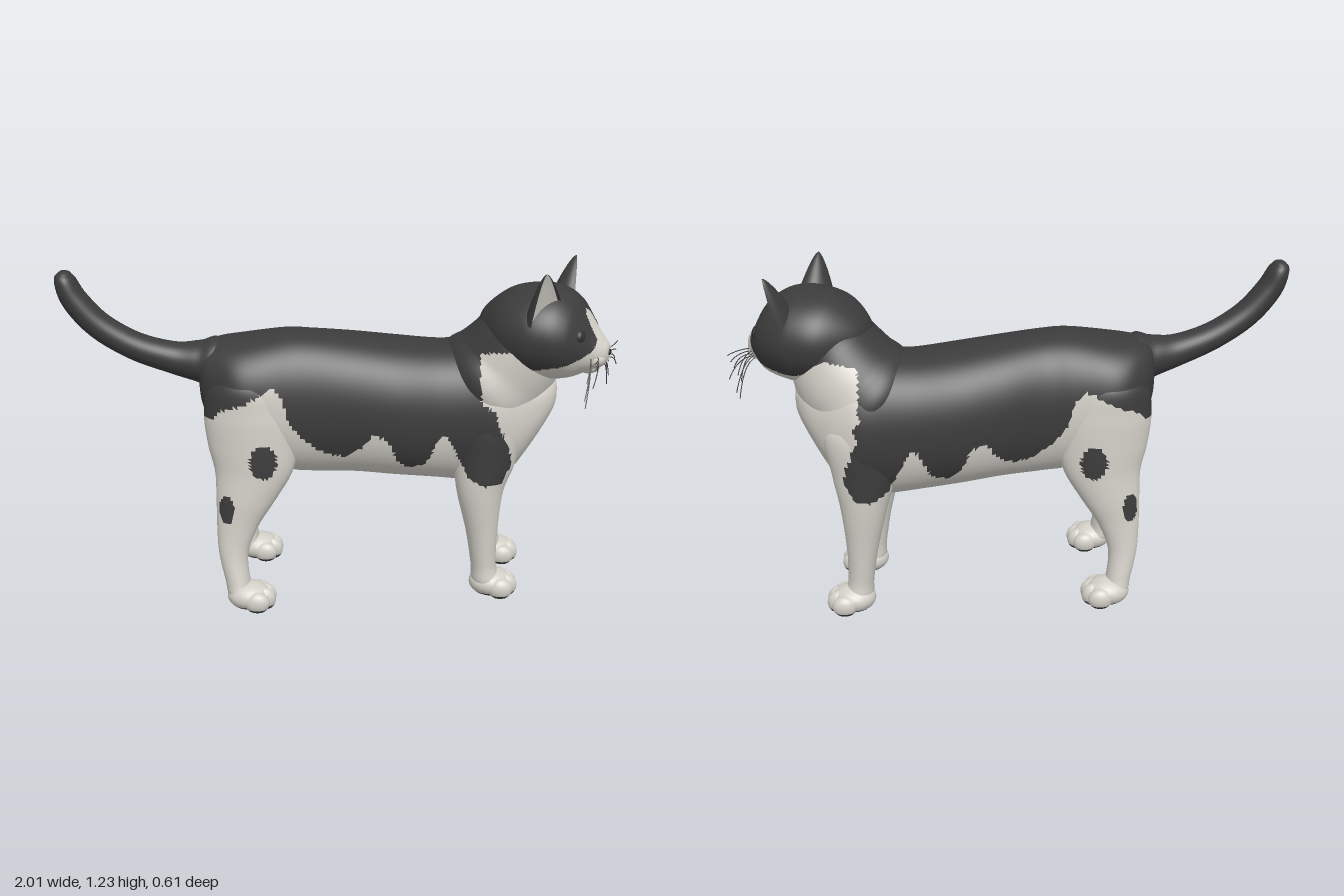
import * as THREE from 'three';
import { mergeGeometries } from 'three/addons/utils/BufferGeometryUtils.js';

const mat = (name, color) => {
  const m = new THREE.MeshStandardMaterial({ color });
  m.name = name;
  return m;
};
const white = mat('white fur', 0xd2cfc7);
const black = mat('black fur', 0x3b3b3b);
const eyeDark = mat('dark eye', 0x303030);
const whiskerGrey = mat('whisker grey', 0x4a4845);

// Smooth skin over rounded sections [x, y, z, radiusA, radiusB]; dir fixes the section plane, power < 1 squares them
function loft(rows, dir, steps, sides, power = 1) {
  const centres = new THREE.CatmullRomCurve3(rows.map(r => new THREE.Vector3(r[0], r[1], r[2])), false, 'catmullrom');
  const radii = new THREE.CatmullRomCurve3(rows.map(r => new THREE.Vector3(r[3], r[4], 0)), false, 'catmullrom');
  const round = v => Math.sign(v) * Math.abs(v) ** power;
  const b = new THREE.Vector3(0, 0, 1), pos = [], idx = [];
  for (let i = 0; i <= steps; i++) {
    const c = centres.getPoint(i / steps), r = radii.getPoint(i / steps);
    const t = dir ? new THREE.Vector3(...dir) : centres.getTangent(i / steps);
    const a = b.clone().cross(t).normalize();
    for (let j = 0; j < sides; j++) {
      const th = j / sides * Math.PI * 2;
      const p = c.clone().addScaledVector(a, round(Math.cos(th)) * Math.max(r.x, 0))
        .addScaledVector(b, round(Math.sin(th)) * Math.max(r.y, 0));
      pos.push(p.x, p.y, p.z);
      if (i < steps) {
        const k = i * sides + j, l = i * sides + (j + 1) % sides;
        idx.push(k, l, k + sides, l, l + sides, k + sides);
      }
    }
  }
  const g = new THREE.BufferGeometry();
  g.setAttribute('position', new THREE.Float32BufferAttribute(pos, 3));
  g.setIndex(idx);
  g.computeVertexNormals();
  return g;
}

// Sort the triangles into white and black groups by a rule on their centres
function paint(name, g, isBlack) {
  const p = g.attributes.position, ix = g.index.array, sets = [[], []];
  for (let i = 0; i < ix.length; i += 3) {
    const t = [ix[i], ix[i + 1], ix[i + 2]];
    const mid = f => (p[f](t[0]) + p[f](t[1]) + p[f](t[2])) / 3;
    sets[isBlack(mid('getX'), mid('getY'), mid('getZ')) ? 1 : 0].push(...t);
  }
  g.setIndex([...sets[0], ...sets[1]]);
  g.clearGroups();
  g.addGroup(0, sets[0].length, 0);
  g.addGroup(sets[0].length, sets[1].length, 1);
  const m = new THREE.Mesh(g, [white, black]);
  m.name = name;
  return m;
}

function blob(x, y, z, rx, ry, rz) {
  return new THREE.SphereGeometry(1, 24, 16).scale(rx, ry, rz).translate(x, y, z);
}

// Saddle patch outline seen from the side
const saddle = [
  [-0.6, 0.7], [-0.45, 0.71], [-0.42, 0.74], [-0.35, 0.76], [-0.24, 0.82], [-0.2, 0.78], [-0.18, 0.7], [-0.13, 0.63],
  [-0.05, 0.57], [0.02, 0.56], [0.08, 0.6], [0.12, 0.65], [0.17, 0.63], [0.2, 0.55], [0.25, 0.51], [0.31, 0.53],
  [0.35, 0.63], [0.38, 0.64], [0.42, 0.56], [0.46, 0.48], [0.52, 0.45], [0.58, 0.46], [0.615, 0.53], [0.6, 0.6],
  [0.56, 0.68], [0.55, 0.73], [0.5, 0.76], [0.49, 0.83], [0.49, 0.93], [0.6, 0.95], [0.68, 0.91], [0.76, 0.88],
  [0.8, 0.9], [0.8, 1.4], [-0.6, 1.4]];
function inSaddle(x, y) {
  let inside = false;
  saddle.forEach(([x1, y1], i) => {
    const [x2, y2] = saddle[(i + 1) % saddle.length];
    if ((y1 > y) !== (y2 > y) && x < x1 + (y - y1) / (y2 - y1) * (x2 - x1)) inside = !inside;
  });
  return inside;
}
const inSpot = (x, y, cx, cy, rx, ry) => ((x - cx) / rx) ** 2 + ((y - cy) / ry) ** 2 < 1;
function coat(x, y, z) {
  if (y < 0.014) return true; // soles
  if (Math.abs(z) > 0.14 && inSpot(x, y, -0.27, 0.555, 0.047, 0.063)) return true;
  if (Math.abs(z) > 0.17 && inSpot(x, y, -0.405, 0.375, 0.028, 0.052)) return true;
  if (x > 0.4 && y < 0.62 && Math.abs(z + 0.05) < 0.13) return false;
  // the black reaches further forward on the right of the neck
  const shift = z < 0 && x > 0.4 ? 0.06 * THREE.MathUtils.smoothstep(y, 0.68, 0.8) : 0;
  return inSaddle(x - shift, y);
}

// Face mask: white blaze, muzzle and jaw
const blaze = [[-0.2, 0.2], [-0.1, 0.16], [-0.07, 0.12], [-0.04, 0.08], [0, 0.045], [0.05, 0.038], [0.08, 0.028], [0.095, 0]];
function mask(u, v, w) {
  if (v < -0.105 + 0.3 * Math.max(0, -u)) return false;
  if (u < 0.05 || v > 0.095) return true;
  const i = Math.max(1, blaze.findIndex(b => b[0] >= v));
  const [v0, h0] = blaze[i - 1], [v1, h1] = blaze[i];
  return Math.abs(w) > h0 + (h1 - h0) * (v - v0) / (v1 - v0);
}

function paw(name, x, z) {
  const parts = [blob(x, 0.045, z, 0.08, 0.052, 0.072)];
  for (let i = 0; i < 4; i++) {
    const o = i - 1.5, inner = Math.abs(o) < 1;
    parts.push(blob(x + (inner ? 0.052 : 0.032), 0.036, z + o * 0.036, 0.045, inner ? 0.045 : 0.04, 0.028));
  }
  const g = mergeGeometries(parts), p = g.attributes.position;
  for (let i = 0; i < p.count; i++) p.setY(i, Math.max(0, p.getY(i))); // flat sole
  return paint(name, g, coat);
}

function makeHead() {
  const head = new THREE.Group();
  head.name = 'head';
  head.position.set(0.7, 0.99, 0.01);
  head.rotation.y = -0.42;
  head.add(paint('skull', loft([
    [-0.21, 0, 0, 0, 0], [-0.19, 0, 0, 0.07, 0.08], [-0.1, 0, 0, 0.145, 0.175], [0, 0, 0, 0.17, 0.207],
    [0.08, 0, 0, 0.165, 0.197], [0.14, -0.01, 0, 0.143, 0.167], [0.18, -0.025, 0, 0.11, 0.125],
    [0.215, -0.045, 0, 0.076, 0.085], [0.245, -0.055, 0, 0.05, 0.056], [0.262, -0.055, 0, 0.028, 0.03],
    [0.266, -0.055, 0, 0, 0]], [1, 0, 0], 110, 104), mask));
  const add = (name, g, m) => {
    const mesh = new THREE.Mesh(g, m);
    mesh.name = name;
    head.add(mesh);
  };
  add('chin', blob(0.195, -0.105, 0, 0.042, 0.032, 0.05), white);
  add('nose', blob(0.264, -0.053, 0, 0.008, 0.011, 0.016), eyeDark);
  for (const s of [1, -1]) {
    add('muzzlePad', blob(0.215, -0.075, s * 0.03, 0.045, 0.032, 0.042), white);
    add('eye', blob(0.178, 0.012, s * 0.088, 0.02, 0.028, 0.034), eyeDark);
    // Cupped ear with a pale inside and a rounded tip
    const ear = paint('ear', new THREE.ConeGeometry(1, 1, 48, 20, true).translate(0, 0.5, 0),
      (x, y, z) => !(x > 0 && Math.abs(z) < 0.88 * (1 - y)));
    const p = ear.geometry.attributes.position;
    for (let i = 0; i < p.count; i++) {
      const y = p.getY(i), x = p.getX(i), k = Math.max(1 - y, 0.01) ** -0.3;
      p.setXYZ(i, (x > 0 ? -0.25 * x : x) * k + 0.4 * (1 - y), y, p.getZ(i) * k);
    }
    ear.geometry.scale(0.07, 0.175, 0.08).computeVertexNormals();
    ear.position.set(0.05, 0.085, s * 0.127);
    ear.rotation.set(s * 0.33, -s * 0.5, -0.2);
    head.add(ear);
    // Drooping whiskers
    for (let i = 0; i < 8; i++) {
      const v = -0.065 - (i % 4) * 0.01, f = 0.235 - (i >> 2) * 0.025, reach = 0.18 - (i % 3) * 0.018;
      const curve = new THREE.QuadraticBezierCurve3(
        new THREE.Vector3(f, v, s * 0.05),
        new THREE.Vector3(f + 0.025, v + 0.01, s * 0.11),
        new THREE.Vector3(f + 0.02, v + 0.01 - i * 0.019, s * reach));
      add('whisker', new THREE.TubeGeometry(curve, 8, 0.0018, 5), whiskerGrey);
    }
  }
  return head;
}

export function createModel() {
  const cat = new THREE.Group();
  cat.name = 'cat';
  // Torso rows: x, top, bottom, centre z, half width
  const torso = [
    [-0.51, 0.86, 0.82, 0.01, 0], [-0.495, 0.93, 0.71, 0.01, 0.1], [-0.44, 0.955, 0.62, 0, 0.165],
    [-0.35, 0.968, 0.55, 0, 0.21], [-0.2, 0.988, 0.475, 0, 0.203], [-0.1, 0.985, 0.46, -0.003, 0.197],
    [0.05, 0.97, 0.455, -0.02, 0.212], [0.2, 0.952, 0.44, -0.033, 0.224], [0.35, 0.937, 0.425, -0.045, 0.22],
    [0.45, 0.94, 0.415, -0.05, 0.222], [0.55, 0.94, 0.41, -0.05, 0.23], [0.62, 0.92, 0.45, -0.045, 0.205],
    [0.68, 0.88, 0.535, -0.035, 0.17], [0.74, 0.85, 0.64, -0.02, 0.125], [0.775, 0.82, 0.71, -0.01, 0.07],
    [0.785, 0.78, 0.76, -0.01, 0]];
  cat.add(paint('torso', loft(torso.map(([x, t, b, z, w]) => [x, (t + b) / 2, z, (t - b) / 2, w]), [1, 0, 0], 150, 104, 0.88), coat));
  cat.add(paint('neck', loft([
    [0.43, 0.66, -0.05, 0, 0], [0.5, 0.75, -0.047, 0.19, 0.205], [0.59, 0.85, -0.03, 0.195, 0.205],
    [0.65, 0.96, -0.005, 0.162, 0.185], [0.68, 1.03, 0, 0.125, 0.145], [0.69, 1.08, 0, 0, 0]], null, 64, 80), coat));
  cat.add(paint('tail', loft([
    [-0.38, 0.86, 0.01, 0, 0], [-0.44, 0.868, 0.015, 0.09, 0.1], [-0.51, 0.875, 0.02, 0.075, 0.085],
    [-0.6, 0.89, 0.03, 0.058, 0.065], [-0.73, 0.935, 0.045, 0.05, 0.058], [-0.85, 1.01, 0.055, 0.048, 0.056],
    [-0.93, 1.1, 0.06, 0.046, 0.055], [-0.962, 1.17, 0.06, 0.038, 0.05], [-0.968, 1.2, 0.06, 0.024, 0.03],
    [-0.97, 1.212, 0.06, 0, 0]], null, 60, 32), () => true));
  cat.add(makeHead());

  // Legs run downwards from inside the torso
  for (const [side, dx, z, s] of [['left', 0, 0.1, 1], ['right', 0.04, -0.195, -1]]) {
    cat.add(paint(side + 'FrontLeg', loft([
      [0.53 + dx / 2, 0.8, z - s * 0.02, 0, 0], [0.535 + dx / 2, 0.7, z - s * 0.015, 0.12, 0.085],
      [0.525 + dx / 2, 0.53, z - s * 0.008, 0.112, 0.088], [0.51 + dx, 0.41, z, 0.085, 0.078], [0.522 + dx, 0.25, z, 0.058, 0.064],
      [0.533 + dx, 0.12, z, 0.047, 0.056], [0.545 + dx, 0.05, z, 0.05, 0.058], [0.55 + dx, 0.03, z, 0, 0]],
      [0, -1, 0], 64, 48), coat));
    cat.add(paw(side + 'FrontPaw', 0.562 + dx, z - (s < 0 ? 0.01 : 0.002)));
    cat.add(paint(side + 'HindLeg', loft([
      [-0.33, 0.9, s * 0.1, 0, 0], [-0.33, 0.83, s * 0.105, 0.13, 0.095], [-0.32, 0.72, s * 0.12, 0.165, 0.1],
      [-0.312, 0.6, s * 0.13, 0.162, 0.095], [-0.31, 0.5, s * 0.145, 0.14, 0.082], [-0.338, 0.4, s * 0.165, 0.108, 0.066],
      [-0.37, 0.3, s * 0.18, 0.075, 0.052], [-0.386, 0.2, s * 0.195, 0.053, 0.046], [-0.372, 0.1, s * 0.21, 0.045, 0.05],
      [-0.36, 0.05, s * 0.215, 0.045, 0.052], [-0.355, 0.03, s * 0.215, 0, 0]], [0, -1, 0], 80, 60), coat));
    cat.add(paw(side + 'HindPaw', -0.33, s * 0.222));
  }
  return cat;
}
